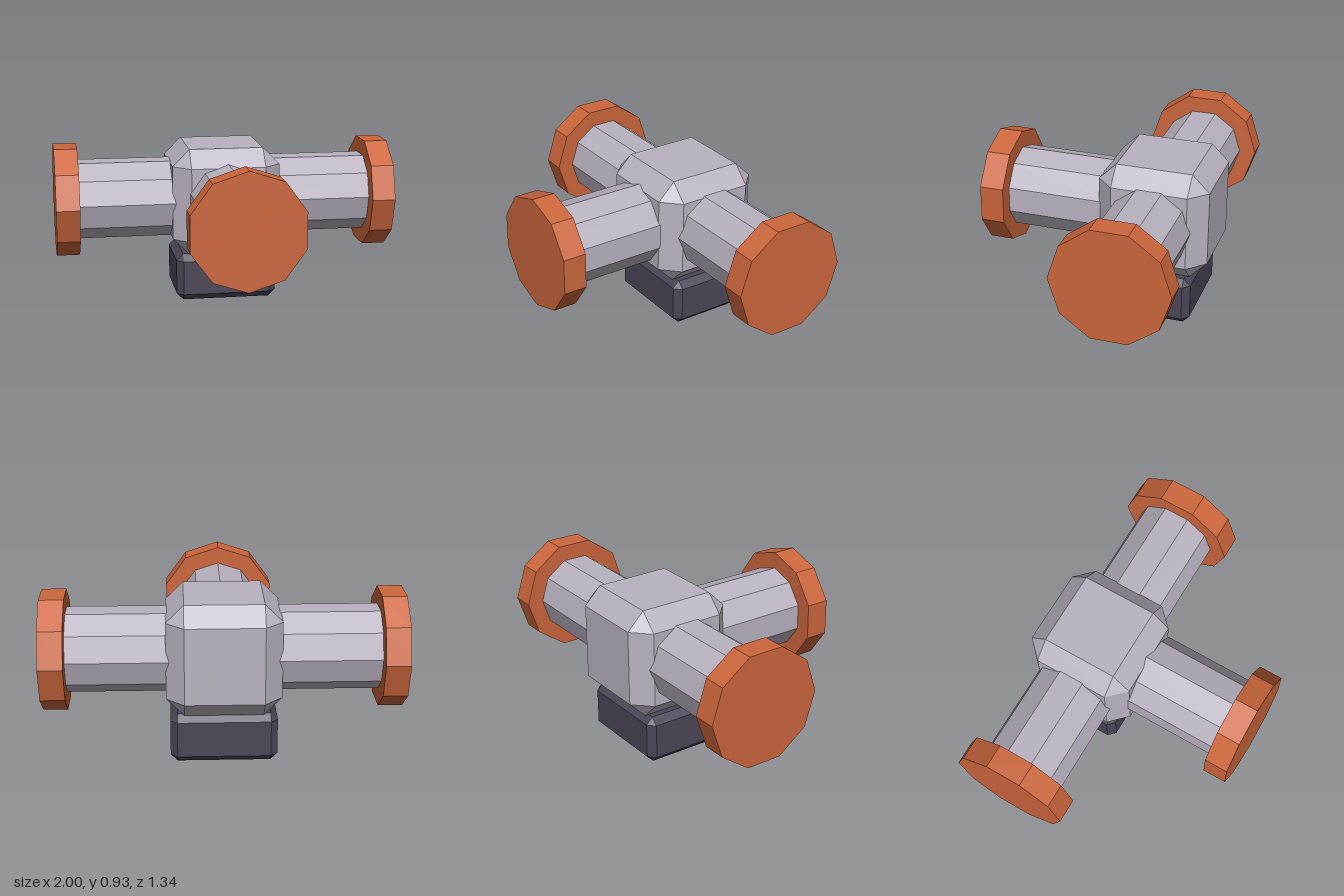
import * as THREE from 'three';
import { ConvexGeometry } from 'three/addons/geometries/ConvexGeometry.js';

const CY = 0.596, CZ = -0.333; // point where the pipe axes meet

function makeMaterial(name, color) {
  const m = new THREE.MeshStandardMaterial({ color, flatShading: true });
  m.name = name;
  return m;
}

// Box with every edge cut at 45 degrees and triangular corners
function chamferBox(hx, hy, hz, c) {
  const points = [];
  for (const x of [-1, 1]) for (const y of [-1, 1]) for (const z of [-1, 1]) {
    points.push(
      new THREE.Vector3(x * hx, y * (hy - c), z * (hz - c)),
      new THREE.Vector3(x * (hx - c), y * hy, z * (hz - c)),
      new THREE.Vector3(x * (hx - c), y * (hy - c), z * hz)
    );
  }
  return new ConvexGeometry(points);
}

export function createModel() {
  const grey = makeMaterial('pipe grey', 0xb9b3c0);
  const orange = makeMaterial('flange orange', 0xcc663c);
  const dark = makeMaterial('base dark', 0x4b4657);
  const group = new THREE.Group();
  group.name = 'pipeJunction';

  const add = (name, geometry, material, parent, x, y, z) => {
    const mesh = new THREE.Mesh(geometry, material);
    mesh.name = name;
    mesh.position.set(x, y, z);
    parent.add(mesh);
    return mesh;
  };

  // Central block and the foot it stands on
  add('junctionBlock', chamferBox(0.318, 0.318, 0.318, 0.1), grey, group, 0, CY, CZ);
  add('base', chamferBox(0.297, 0.14, 0.237, 0.039), dark, group, 0, 0.14, CZ);

  // Ten-sided pipe arms, each closed by a wider flange
  const start = 0.2, flangeStart = 0.863, end = 1;
  const pipeLength = flangeStart - start + 0.02;
  const pipe = new THREE.CylinderGeometry(0.237, 0.237, pipeLength, 10);
  const flange = new THREE.CylinderGeometry(0.335, 0.335, end - flangeStart, 10);
  const arms = [
    ['leftArm', 0, -Math.PI / 2],
    ['rightArm', 0, Math.PI / 2],
    ['frontArm', Math.PI / 2, 0],
  ];
  for (const [name, rx, rz] of arms) {
    const arm = new THREE.Group();
    arm.name = name;
    arm.position.set(0, CY, CZ);
    arm.rotation.set(rx, 0, rz);
    add(name + 'Pipe', pipe, grey, arm, 0, start + pipeLength / 2, 0);
    add(name + 'Flange', flange, orange, arm, 0, (flangeStart + end) / 2, 0);
    group.add(arm);
  }
  return group;
}
